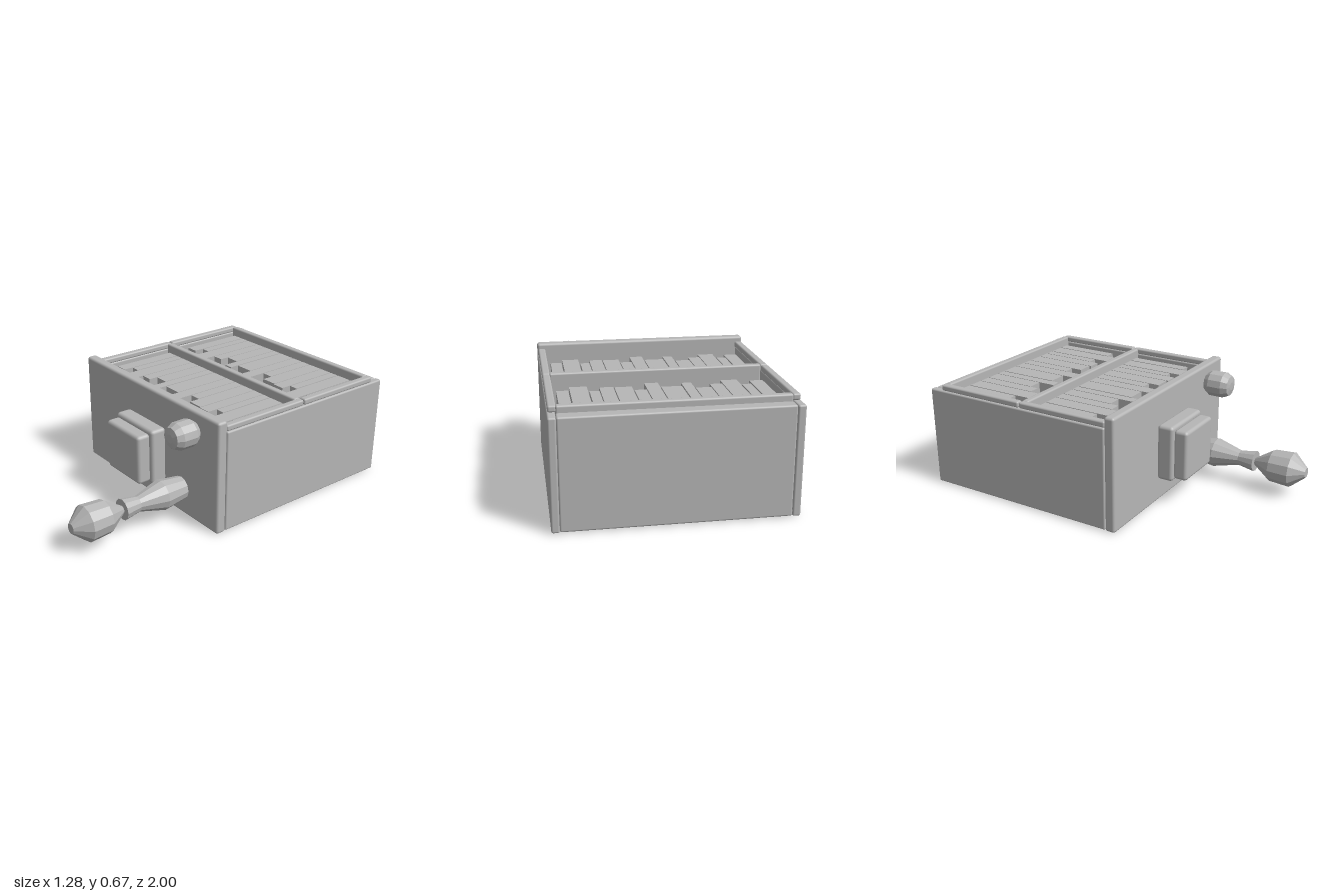
import * as THREE from 'three';
import { RoundedBoxGeometry } from 'three/addons/geometries/RoundedBoxGeometry.js';

export function createModel() {
  const model = new THREE.Group();
  model.name = 'cardDrawer';
  const grey = new THREE.MeshStandardMaterial({ color: 0xb6b6b6 });
  grey.name = 'grey';
  const greyFaceted = grey.clone();
  greyFaceted.flatShading = true;

  // Softened box given by its extents on each axis
  function block(name, [x0, x1], [y0, y1], [z0, z1], radius = 0.01) {
    const geometry = radius
      ? new RoundedBoxGeometry(x1 - x0, y1 - y0, z1 - z0, 2, radius)
      : new THREE.BoxGeometry(x1 - x0, y1 - y0, z1 - z0);
    const mesh = new THREE.Mesh(geometry, grey);
    mesh.name = name;
    mesh.position.set((x0 + x1) / 2, (y0 + y1) / 2, (z0 + z1) / 2);
    model.add(mesh);
  }

  // Faceted turned part pointing forward; profile is [radius, z]
  function turned(name, x, y, sides, profile) {
    const points = profile.map(([r, z]) => new THREE.Vector2(r, z));
    const geometry = new THREE.LatheGeometry(points, sides).rotateX(Math.PI / 2);
    const mesh = new THREE.Mesh(geometry, greyFaceted);
    mesh.name = name;
    mesh.position.set(x, y, 0);
    model.add(mesh);
  }

  // Drawer body
  block('frontPanel', [-0.64, 0.637], [0, 0.67], [0.215, 0.277], 0.015);
  block('leftSide', [0.595, 0.637], [0.005, 0.605], [-1, 0.215]);
  block('rightSide', [-0.64, -0.597], [0.005, 0.605], [-1, 0.215]);
  block('backPanel', [-0.597, 0.595], [0.005, 0.605], [-0.995, -0.92]);
  block('bottom', [-0.6, 0.598], [0.01, 0.04], [-0.99, 0.22], 0);

  // Rim rails, dividers and rows of cards, repeated for both compartments
  const cards = [ // x start, x end, front edge
    [-0.57, -0.495, 0.1], [-0.488, -0.437, 0.04], [-0.43, -0.338, 0.13], [-0.333, -0.265, 0.07],
    [-0.26, -0.175, 0.015], [-0.17, -0.115, 0.115], [-0.108, 0.005, 0.06], [0.01, 0.085, 0.14],
    [0.09, 0.155, 0.025], [0.16, 0.255, 0.09], [0.26, 0.335, 0.1], [0.34, 0.393, 0.04],
    [0.4, 0.495, 0.13], [0.503, 0.567, 0.07]
  ];
  for (const [row, shift] of [['front', 0], ['back', -0.57]]) {
    block(row + 'LeftRail', [0.59, 0.632], [0.605, 0.64], [-0.348 + shift, 0.215 + shift]);
    block(row + 'RightRail', [-0.635, -0.592], [0.605, 0.64], [-0.348 + shift, 0.215 + shift]);
    block(row + 'Divider', [-0.595, 0.593], [0.04, 0.64], [-0.353 + shift, -0.312 + shift]);
    cards.forEach(([x0, x1, end], i) => {
      block(`${row}Card${i + 1}`, [x0, x1], [0.04, 0.585], [-0.315 + shift, end + shift], 0);
    });
  }

  // Stepped square plate on the front
  block('plateBase', [-0.18, 0.177], [0.145, 0.48], [0.275, 0.375], 0.02);
  block('plateTop', [-0.16, 0.157], [0.16, 0.46], [0.37, 0.457], 0.02);

  // Small knob and the turned pull handle
  turned('knob', 0.437, 0.56, 12, [
    [0, 0.275], [0.055, 0.28], [0.079, 0.315], [0.079, 0.4], [0.06, 0.437], [0.025, 0.445], [0, 0.445]
  ]);
  turned('handleStem', 0.317, 0.16, 12, [
    [0, 0.27], [0.068, 0.275], [0.088, 0.42], [0.045, 0.58], [0.062, 0.68], [0, 0.68]
  ]);
  turned('handleGrip', 0.317, 0.16, 12, [
    [0, 0.67], [0.016, 0.67], [0.096, 0.79], [0.104, 0.915], [0.03, 1], [0, 1]
  ]);

  return model;
}
